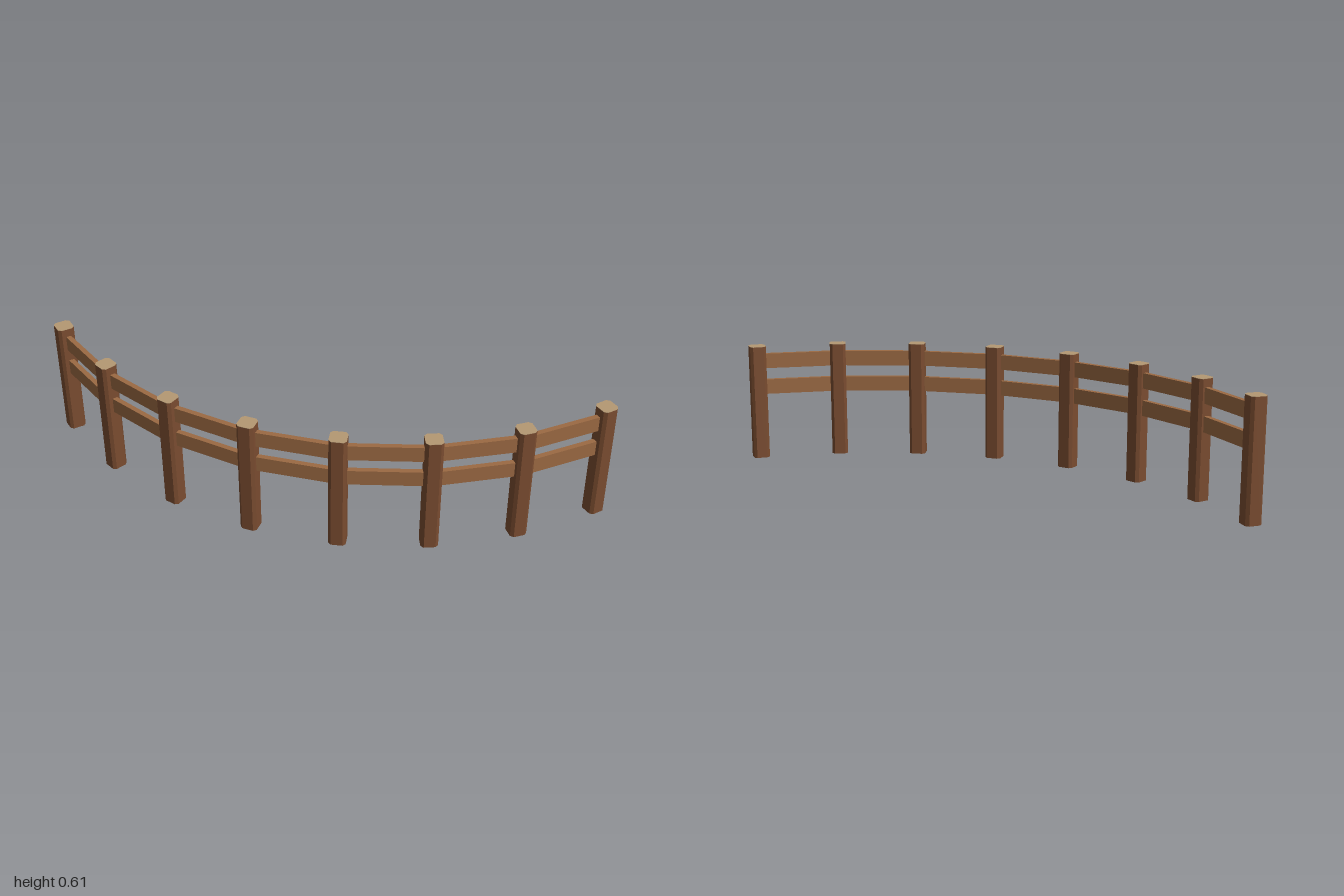
import * as THREE from 'three';

const SPANS = 7;
const CENTRE = 0.958;         // arc centre at (+CENTRE, -CENTRE)
const RADIUS = 2 * CENTRE;
const HEIGHT = 0.606;
const CAP = 0.002;

const mat = (color) => new THREE.MeshStandardMaterial({ color, flatShading: true });

// Square with clipped corners
function postShape(half, clip) {
  const a = half, b = half - clip;
  return new THREE.Shape([
    [a, -b], [a, b], [b, a], [-b, a], [-a, b], [-a, -b], [-b, -a], [b, -a],
  ].map(([x, y]) => new THREE.Vector2(x, y)));
}

// Upright prism starting at y = 0
function prism(shape, height) {
  return new THREE.ExtrudeGeometry(shape, { depth: height, bevelEnabled: false })
    .rotateX(-Math.PI / 2);
}

export function createModel() {
  const fence = new THREE.Group();
  fence.name = 'curvedFence';

  const postMat = mat(0x7a4c30), railMat = mat(0x9c6a43), endGrainMat = mat(0xb59873);
  const shape = postShape(0.042, 0.014);
  const postGeo = prism(shape, HEIGHT - CAP);
  const capGeo = prism(shape, CAP);

  // Quarter-circle of post positions
  const spots = [];
  for (let i = 0; i <= SPANS; i++) {
    const t = (i / SPANS) * Math.PI / 2;
    spots.push(new THREE.Vector3(
      CENTRE - RADIUS * Math.cos(t), 0, -CENTRE + RADIUS * Math.sin(t)));
  }

  // Posts turned to follow the arc, with pale end grain on top
  spots.forEach((spot, i) => {
    const post = new THREE.Group();
    post.name = 'post';
    const shaft = new THREE.Mesh(postGeo, postMat);
    shaft.name = 'postShaft';
    const cap = new THREE.Mesh(capGeo, endGrainMat);
    cap.name = 'postEndGrain';
    cap.position.y = HEIGHT - CAP;
    post.add(shaft, cap);
    post.position.copy(spot);
    post.rotation.y = (i / SPANS) * Math.PI / 2;
    fence.add(post);
  });

  // Two straight rails between neighbouring posts
  const railGeo = new THREE.BoxGeometry(0.026, 0.078, spots[0].distanceTo(spots[1]));
  for (let i = 0; i < SPANS; i++) {
    const a = spots[i], b = spots[i + 1];
    for (const [name, y] of [['lowerRail', 0.384], ['upperRail', 0.524]]) {
      const rail = new THREE.Mesh(railGeo, railMat);
      rail.name = name;
      rail.position.addVectors(a, b).multiplyScalar(0.5).setY(y);
      rail.rotation.y = Math.atan2(b.x - a.x, b.z - a.z);
      fence.add(rail);
    }
  }
  return fence;
}
